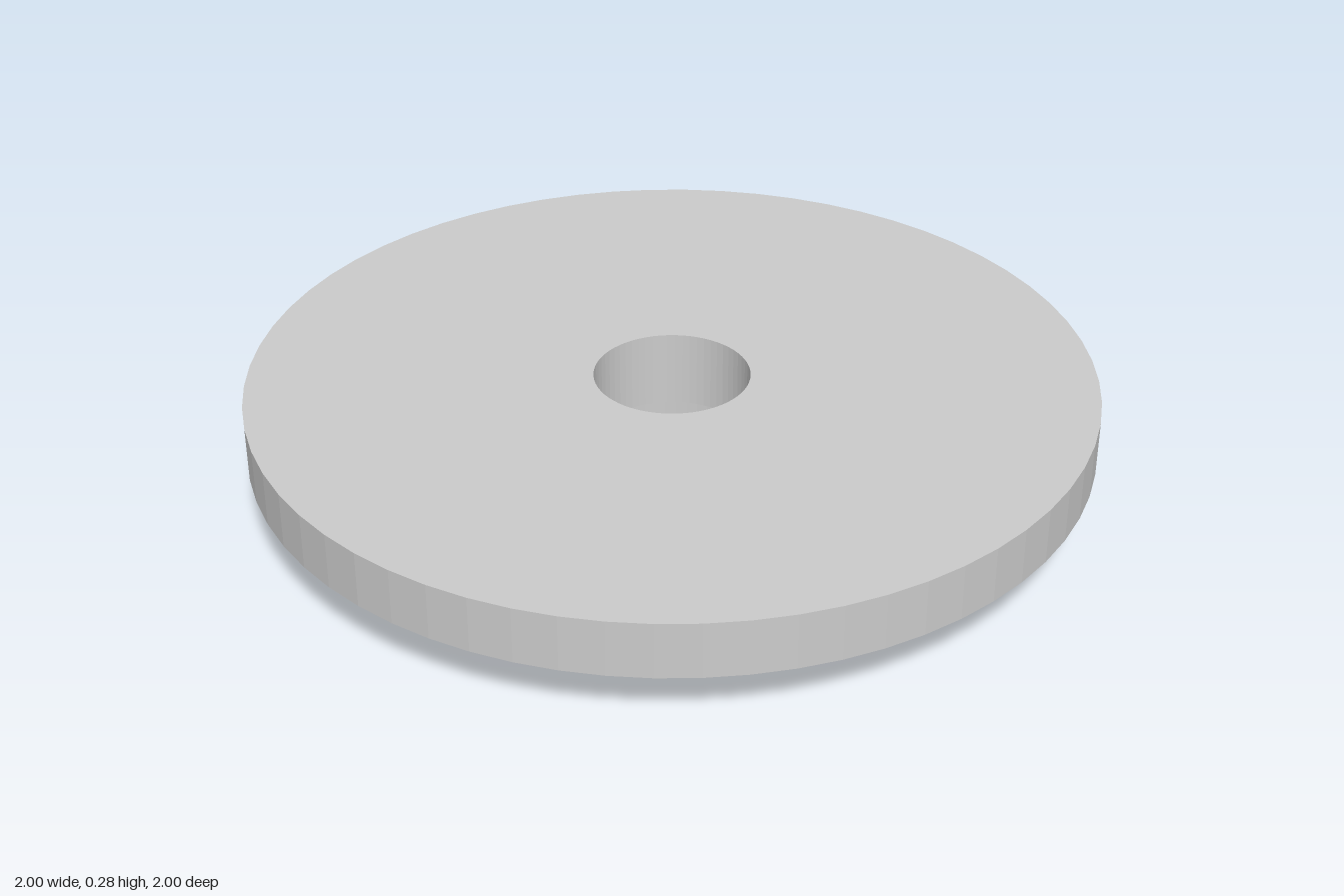
import * as THREE from 'three';

export function createModel() {
  const group = new THREE.Group();
  group.name = 'taperedWasher';

  // Cross-section as [radius, height], walked so that the faces point outward
  const holeR = 0.185, boreR = 0.27, footR = 0.36, rimR = 1;
  const shelfY = 0.09, rimY = 0.143, topY = 0.278;
  const profile = [
    [holeR, shelfY], [boreR, shelfY], // shelf inside the counterbore
    [boreR, 0], [footR, 0],           // counterbore wall and flat foot
    [rimR, rimY], [rimR, topY],       // sloped underside and rim
    [holeR, topY], [holeR, shelfY],   // flat top and through hole
  ].map(([r, y]) => new THREE.Vector2(r, y));

  const disc = new THREE.Mesh(
    new THREE.LatheGeometry(profile, 64),
    new THREE.MeshStandardMaterial({ color: 0xcccccc, flatShading: true })
  );
  disc.name = 'disc';
  group.add(disc);
  return group;
}
